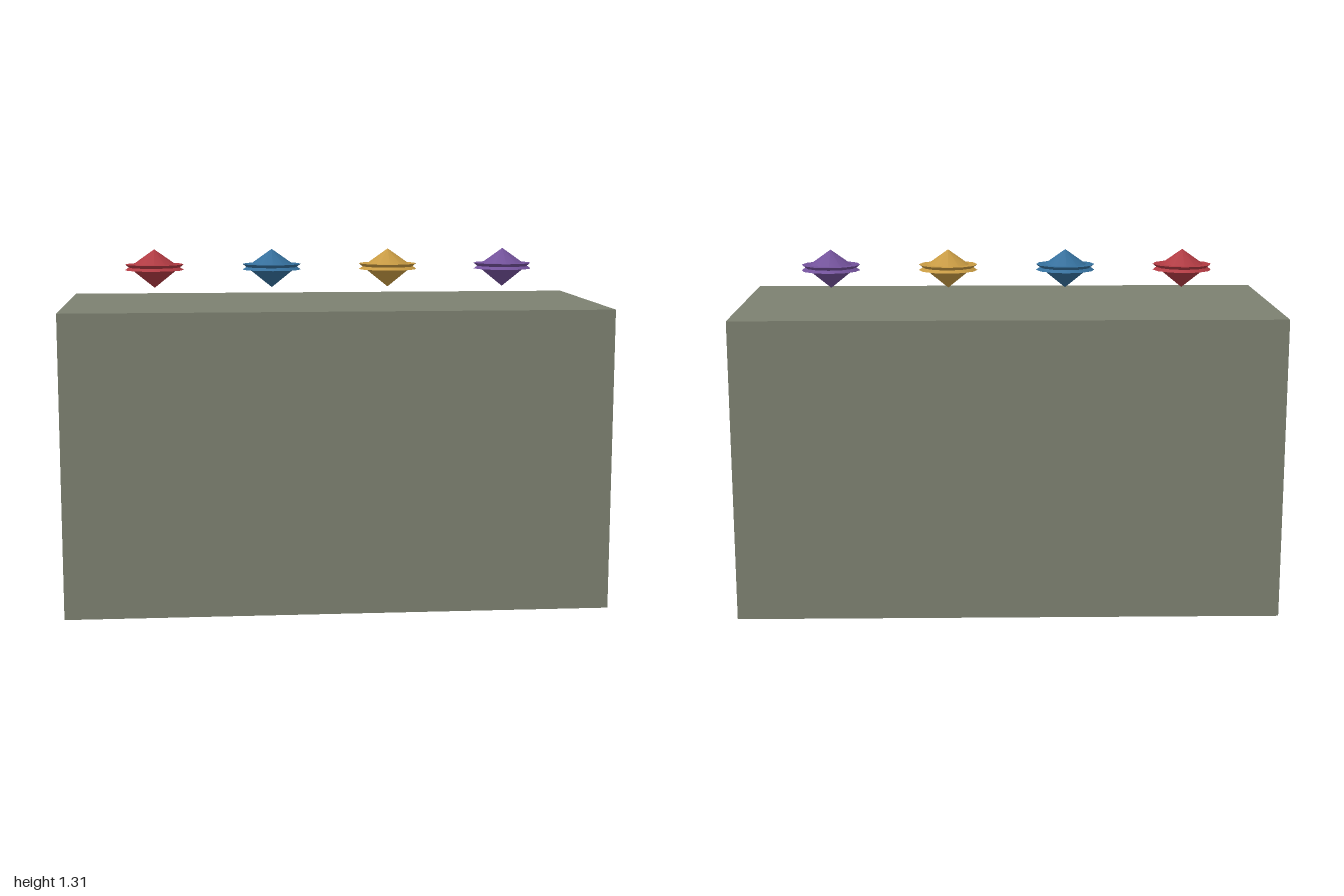
import * as THREE from 'three';

export function createModel() {
  const model = new THREE.Group();
  const material = (color) => new THREE.MeshStandardMaterial({ color });

  // Plain block standing on the ground
  const block = new THREE.Mesh(new THREE.BoxGeometry(2, 1.111, 0.889), material(0x7c8070));
  block.name = 'block';
  block.position.y = 1.111 / 2;
  model.add(block);

  // Each gem is two slightly overlapping cones hovering over the block
  const radius = 0.111, sides = 12;
  const crownGeometry = new THREE.ConeGeometry(radius, 0.078, sides);
  const pavilionGeometry = new THREE.ConeGeometry(radius, 0.089, sides).rotateX(Math.PI);

  const gems = [
    ['redGem', 0xb03a42],
    ['blueGem', 0x346f9c],
    ['goldGem', 0xc79a42],
    ['purpleGem', 0x72519a],
  ];
  gems.forEach(([name, color], i) => {
    const gem = new THREE.Group();
    gem.name = name;
    gem.position.set(-0.667 + i * 0.4445, 0, 0);
    const gemMaterial = material(color);

    const crown = new THREE.Mesh(crownGeometry, gemMaterial);
    crown.name = 'gemCrown';
    crown.position.y = 1.273;

    const pavilion = new THREE.Mesh(pavilionGeometry, gemMaterial);
    pavilion.name = 'gemPavilion';
    pavilion.position.y = 1.211;

    gem.add(crown, pavilion);
    model.add(gem);
  });

  return model;
}
